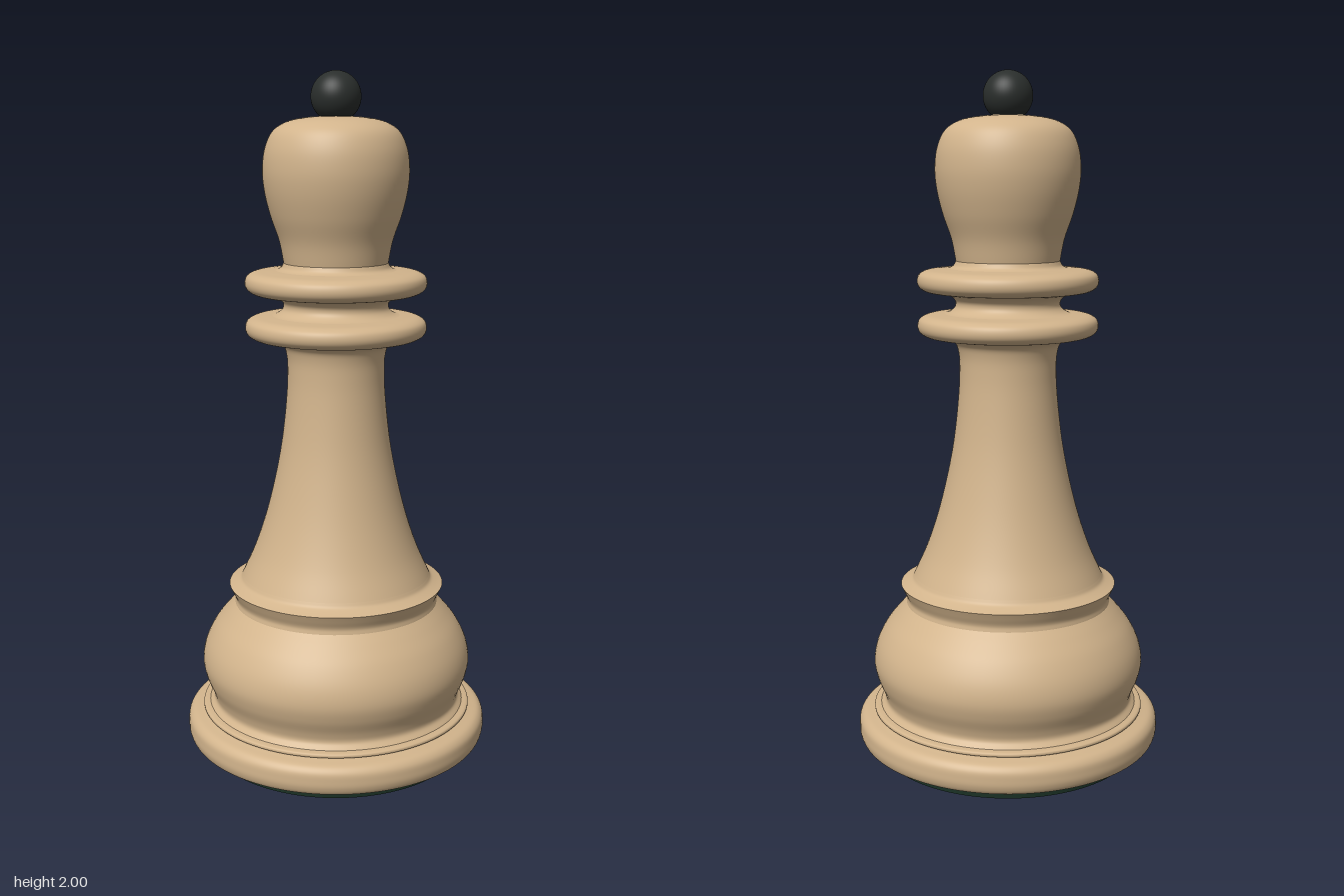
import * as THREE from 'three';

const SEGMENTS = 96;
const wood = new THREE.MeshStandardMaterial({ color: 0xd2b48c });
const ebony = new THREE.MeshStandardMaterial({ color: 0x2a2e2c });
const felt = new THREE.MeshStandardMaterial({ color: 0x1a3024 });

// Turns a smooth curve through [radius, height] points, listed bottom to top
function turned(name, profile, steps = 32, material = wood) {
  const curve = new THREE.CatmullRomCurve3(profile.map(([r, y]) => new THREE.Vector3(r, y, 0)));
  const points = curve.getPoints(steps).map((p) => new THREE.Vector2(Math.max(p.x, 0), p.y));
  const mesh = new THREE.Mesh(new THREE.LatheGeometry(points, SEGMENTS), material);
  mesh.name = name;
  return mesh;
}

export function createModel() {
  const model = new THREE.Group();
  model.name = 'chessBishop';

  // Felt pad under the foot
  const pad = new THREE.Mesh(new THREE.CylinderGeometry(0.388, 0.388, 0.035, SEGMENTS), felt);
  pad.position.y = 0.0175;
  pad.name = 'feltPad';
  model.add(pad);

  // Foot ring with rounded rim and a small raised step
  model.add(turned('footUnderside', [[0, 0.032], [0.425, 0.032]], 2));
  model.add(turned('footRim', [
    [0.425, 0.032], [0.442, 0.041], [0.45, 0.06], [0.451, 0.08],
    [0.448, 0.103], [0.435, 0.118], [0.41, 0.125], [0.395, 0.128],
  ], 36));
  model.add(turned('footStep', [[0.395, 0.126], [0.404, 0.131], [0.403, 0.139], [0.385, 0.143]], 12));

  // Bulging lower body
  model.add(turned('belly', [
    [0.385, 0.143], [0.372, 0.16], [0.376, 0.185], [0.394, 0.23], [0.403, 0.275],
    [0.395, 0.325], [0.368, 0.38], [0.332, 0.425], [0.304, 0.455],
  ], 44));

  // Flared collar above the belly
  model.add(turned('lowerCollar', [[0.304, 0.455], [0.302, 0.47], [0.311, 0.492], [0.32, 0.512]], 12));
  model.add(turned('lowerCollarTop', [[0.32, 0.512], [0.3, 0.52], [0.286, 0.528], [0.279, 0.54]], 12));

  // Slender concave stem flaring under the rings
  model.add(turned('stem', [
    [0.279, 0.54], [0.243, 0.62], [0.209, 0.72], [0.181, 0.83], [0.16, 0.94], [0.146, 1.06],
    [0.141, 1.14], [0.143, 1.2], [0.153, 1.23], [0.18, 1.246], [0.205, 1.249],
  ], 60));

  // Two matching neck rings
  [1.282, 1.411].forEach((y, i) => {
    const ring = turned(i ? 'upperRing' : 'lowerRing', [
      [0.15, -0.034], [0.205, -0.033], [0.24, -0.028], [0.257, -0.016], [0.262, 0],
      [0.257, 0.018], [0.24, 0.029], [0.205, 0.034], [0.15, 0.038],
    ], 40);
    ring.position.y = y;
    model.add(ring);
  });

  // Waist between the rings
  model.add(turned('neck', [
    [0.205, 1.314], [0.17, 1.322], [0.153, 1.337], [0.152, 1.353], [0.168, 1.369], [0.205, 1.379],
  ], 24));

  // Bulbous head
  model.add(turned('headFoot', [[0.205, 1.444], [0.175, 1.447], [0.158, 1.454], [0.15, 1.468]], 12));
  model.add(turned('head', [
    [0.15, 1.468], [0.162, 1.53], [0.186, 1.6], [0.203, 1.67], [0.208, 1.73], [0.2, 1.79],
    [0.178, 1.835], [0.14, 1.86], [0.08, 1.873], [0, 1.876],
  ], 54));

  // Dark ball finial
  const finial = new THREE.Mesh(new THREE.SphereGeometry(0.071, 48, 32), ebony);
  finial.position.y = 1.929;
  finial.name = 'finial';
  model.add(finial);

  return model;
}
